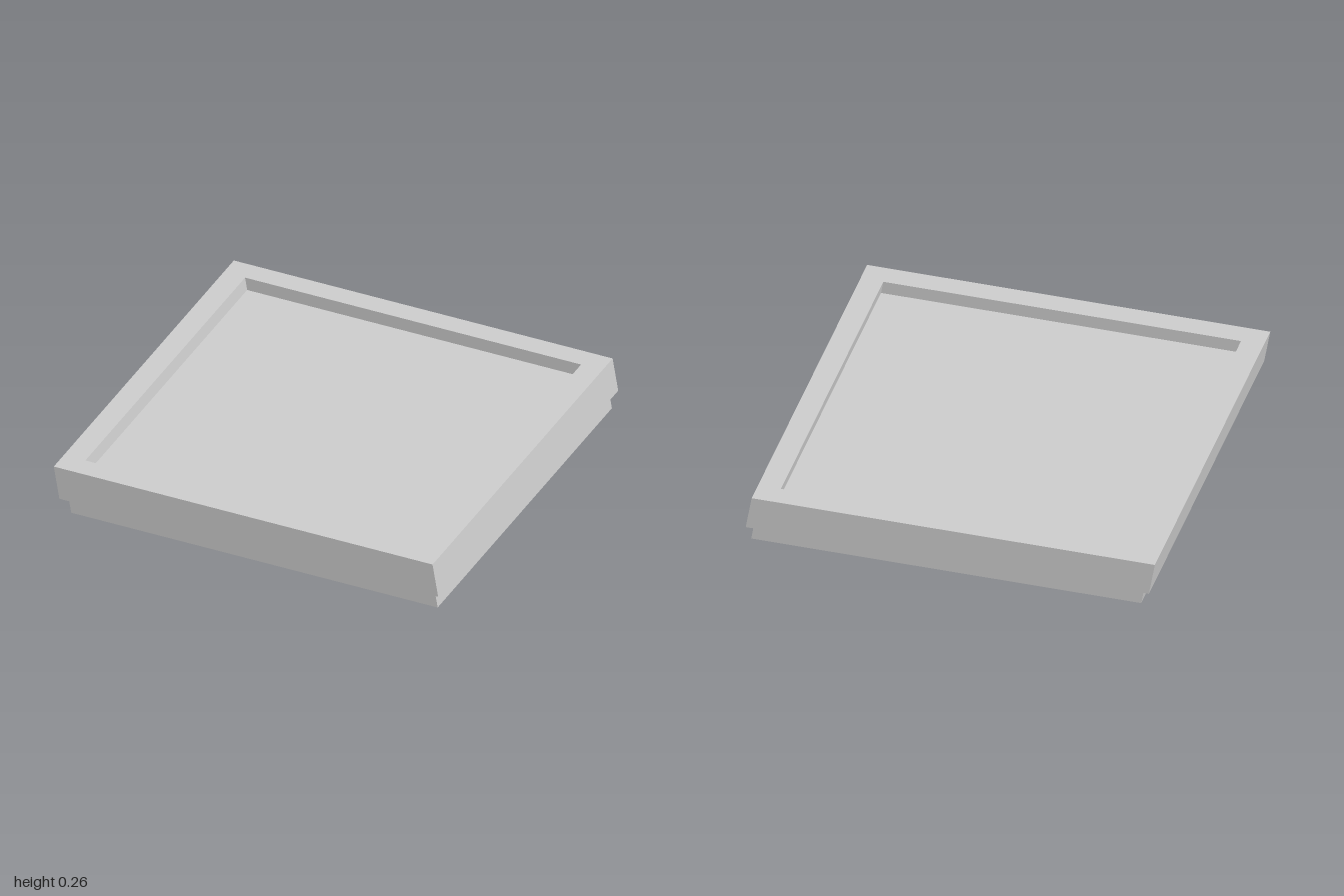
import * as THREE from 'three';

const LEAN = -0.17; // sideways lean in x per unit of height
const RIM_BOTTOM = 0.084, TOP = 0.256, FLOOR = 0.19;
const OUTER = 0.984, INNER = 0.873, FOOT = 0.952;

function squarePath(Path, half) {
  const p = new Path();
  p.moveTo(-half, -half);
  p.lineTo(half, -half);
  p.lineTo(half, half);
  p.lineTo(-half, half);
  p.closePath();
  return p;
}

// Square slab from y0 to y1, optionally with a square opening, leaned sideways
function slab(name, half, y0, y1, hole, material) {
  const shape = squarePath(THREE.Shape, half);
  if (hole) shape.holes.push(squarePath(THREE.Path, hole));
  const geometry = new THREE.ExtrudeGeometry(shape, { depth: y1 - y0, bevelEnabled: false });
  geometry.rotateX(-Math.PI / 2).translate(0, y0, 0);
  const pos = geometry.attributes.position;
  for (let i = 0; i < pos.count; i++) {
    pos.setX(i, pos.getX(i) + 0.0275 + LEAN * pos.getY(i));
  }
  geometry.computeVertexNormals();
  const mesh = new THREE.Mesh(geometry, material);
  mesh.name = name;
  return mesh;
}

export function createModel() {
  const group = new THREE.Group();
  group.name = 'tray';
  const grey = new THREE.MeshStandardMaterial({ color: 0xcccccc, flatShading: true });
  group.add(
    slab('base', FOOT, 0, RIM_BOTTOM, 0, grey),         // inset foot
    slab('body', OUTER, RIM_BOTTOM, FLOOR, 0, grey),    // plate whose top is the recess floor
    slab('rim', OUTER, FLOOR, TOP, INNER, grey)         // raised border
  );
  return group;
}
